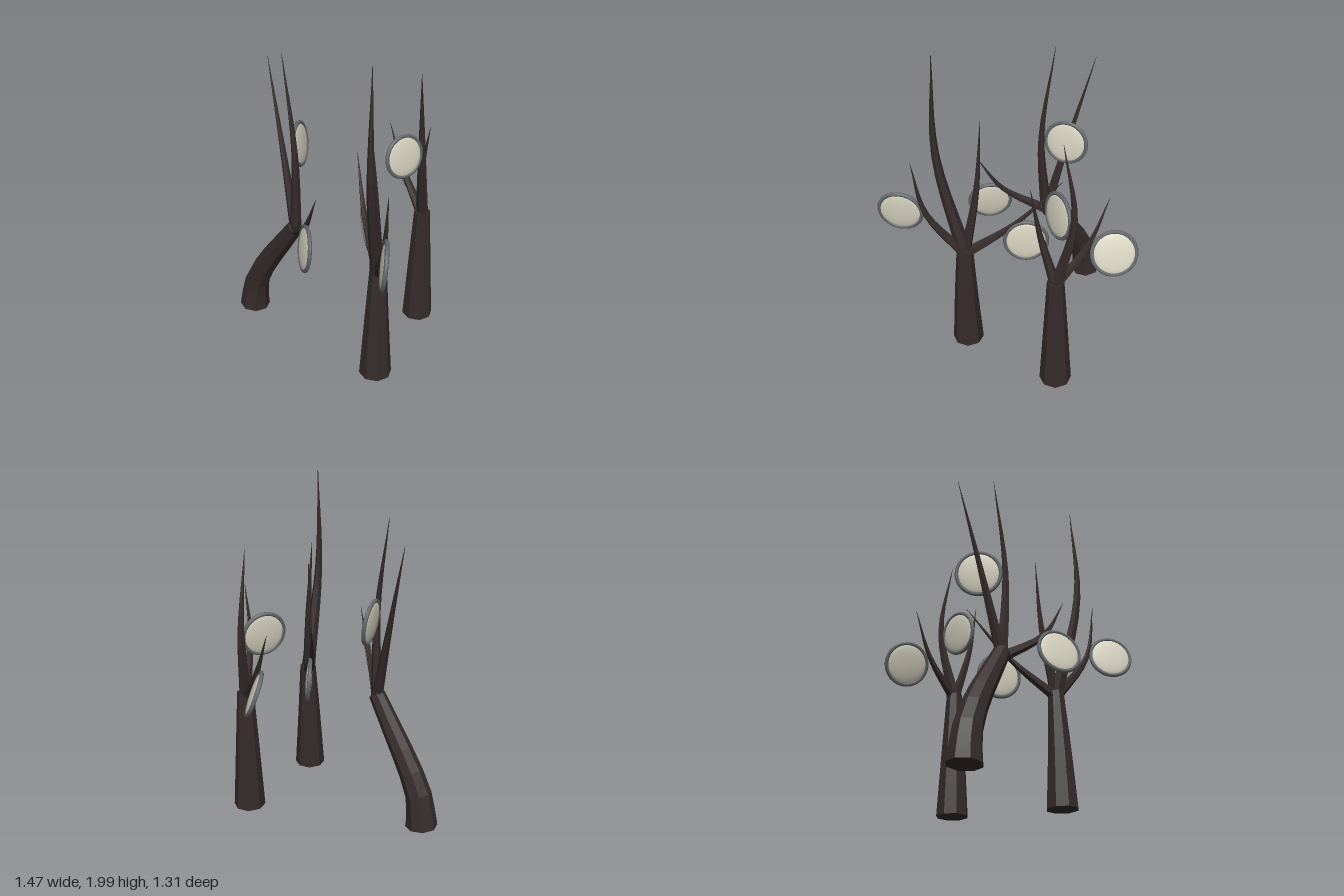
import * as THREE from 'three';

const bark = new THREE.MeshStandardMaterial({ color: 0x352b2a });
bark.name = 'dark bark';
const rimGrey = new THREE.MeshStandardMaterial({ color: 0x63676a });
rimGrey.name = 'rim grey';
const cream = new THREE.MeshStandardMaterial({ color: 0xd6d2c0 });
cream.name = 'pale cream';

const V = (p) => new THREE.Vector3(...p);

// Bends a capped, faceted cylinder along a smooth path; radius(t) sets the taper
function limb(name, points, radius, sides, segments) {
  const curve = new THREE.CatmullRomCurve3(points.map(V));
  const geo = new THREE.CylinderGeometry(1, 1, 1, sides, segments);
  const pos = geo.attributes.position;
  const zAxis = new THREE.Vector3(0, 0, 1);
  for (let i = 0; i < pos.count; i++) {
    const t = THREE.MathUtils.clamp(pos.getY(i) + 0.5, 0, 1);
    const tangent = curve.getTangent(t);
    const u = new THREE.Vector3().crossVectors(tangent, zAxis).normalize();
    const w = new THREE.Vector3().crossVectors(u, tangent);
    const r = radius(t);
    const p = curve.getPoint(t)
      .addScaledVector(u, pos.getX(i) * r)
      .addScaledVector(w, pos.getZ(i) * r);
    pos.setXYZ(i, p.x, p.y, p.z);
  }
  const flat = geo.toNonIndexed();
  flat.computeVertexNormals();
  const mesh = new THREE.Mesh(flat, bark);
  mesh.name = name;
  return mesh;
}

// Upright round pod: a domed cream disc in a grey rim.
// along = horizontal direction of its face, lean = sideways tilt of its top
function pod(center, along, lean) {
  const group = new THREE.Group();
  group.name = 'discPod';
  const rim = new THREE.Mesh(new THREE.TorusGeometry(0.127, 0.012, 8, 36), rimGrey);
  rim.name = 'podRim';
  const face = new THREE.Mesh(new THREE.SphereGeometry(0.125, 32, 16), cream);
  face.name = 'podFace';
  face.scale.z = 0.15;
  group.add(rim, face);

  const h = new THREE.Vector3(along[0], 0, along[1]).normalize();
  const side = new THREE.Vector3(-h.z, 0, h.x);
  const up = new THREE.Vector3(0, Math.sqrt(1 - lean * lean), 0).addScaledVector(side, lean);
  const normal = new THREE.Vector3().crossVectors(h, up);
  group.quaternion.setFromRotationMatrix(new THREE.Matrix4().makeBasis(h, up, normal));
  group.position.set(...center);
  return group;
}

const trees = [
  {
    name: 'leaningTree',
    trunk: [[-0.635, 0, 0.2], [-0.628, 0.08, 0.2], [-0.595, 0.22, 0.2], [-0.475, 0.42, 0.2], [-0.35, 0.59, 0.205], [-0.24, 0.74, 0.21]],
    branches: [
      [[-0.53, 1.73, 0.08], [-0.375, 1.2, 0.15], 0.034],
      [[-0.31, 1.83, 0.2], [-0.215, 1.25, 0.225], 0.036],
      [[0.12, 1.15, 0.44], [-0.02, 0.9, 0.37], 0.032],
    ],
    pods: [
      [[-0.29, 1.24, 0.09], [0.41, 0.91], 0.12],
      [[0.03, 0.805, 0.44], [0.78, 0.62], -0.15],
    ],
  },
  {
    name: 'backTree',
    trunk: [[0.28, 0, -0.38], [0.282, 0.39, -0.38], [0.285, 0.77, -0.38]],
    branches: [
      [[0.24, 1.66, -0.385], [0.218, 1.2, -0.45], 0.038],
      [[0.38, 1.4, -0.28], [0.325, 1.08, -0.295], 0.032],
      [[-0.04, 1.24, -0.48], [0.09, 0.97, -0.45], 0.032],
    ],
    pods: [
      [[-0.01, 0.905, -0.555], [0.74, 0.67], 0.36],
      [[0.19, 1.145, -0.305], [-0.29, 0.95], 0.14],
    ],
  },
  {
    name: 'frontTree',
    trunk: [[0.415, 0, 0.27], [0.415, 0.36, 0.265], [0.413, 0.72, 0.255]],
    branches: [
      [[0.45, 1.98, 0.385], [0.463, 1.35, 0.402], 0.045],
      [[0.61, 1.34, 0.45], [0.56, 0.98, 0.41], 0.034],
      [[-0.03, 1.18, -0.13], [0.17, 0.89, 0.06], 0.034],
      [[0.3, 1.59, 0.19], [0.345, 1.15, 0.2], 0.034],
    ],
    pods: [
      [[0.65, 0.99, 0.535], [0.6, 0.8], -0.1],
      [[0.14, 0.775, 0.005], [0.72, 0.69], 0.08],
    ],
  },
];

export function createModel() {
  const model = new THREE.Group();
  model.name = 'treeGrove';
  for (const { name, trunk, branches, pods } of trees) {
    const tree = new THREE.Group();
    tree.name = name;
    // Tapering eight-sided trunk
    tree.add(limb('trunk', trunk, (t) => 0.097 - 0.047 * t, 8, 8));
    // Branches start just inside the trunk top and narrow to a point
    const [x, y, z] = trunk[trunk.length - 1];
    for (const [tip, mid, r] of branches) {
      tree.add(limb('branch', [[x, y - 0.03, z], mid, tip],
        (t) => r * (1 - t) + 0.001, 6, 10));
    }
    for (const p of pods) tree.add(pod(...p));
    model.add(tree);
  }
  return model;
}
